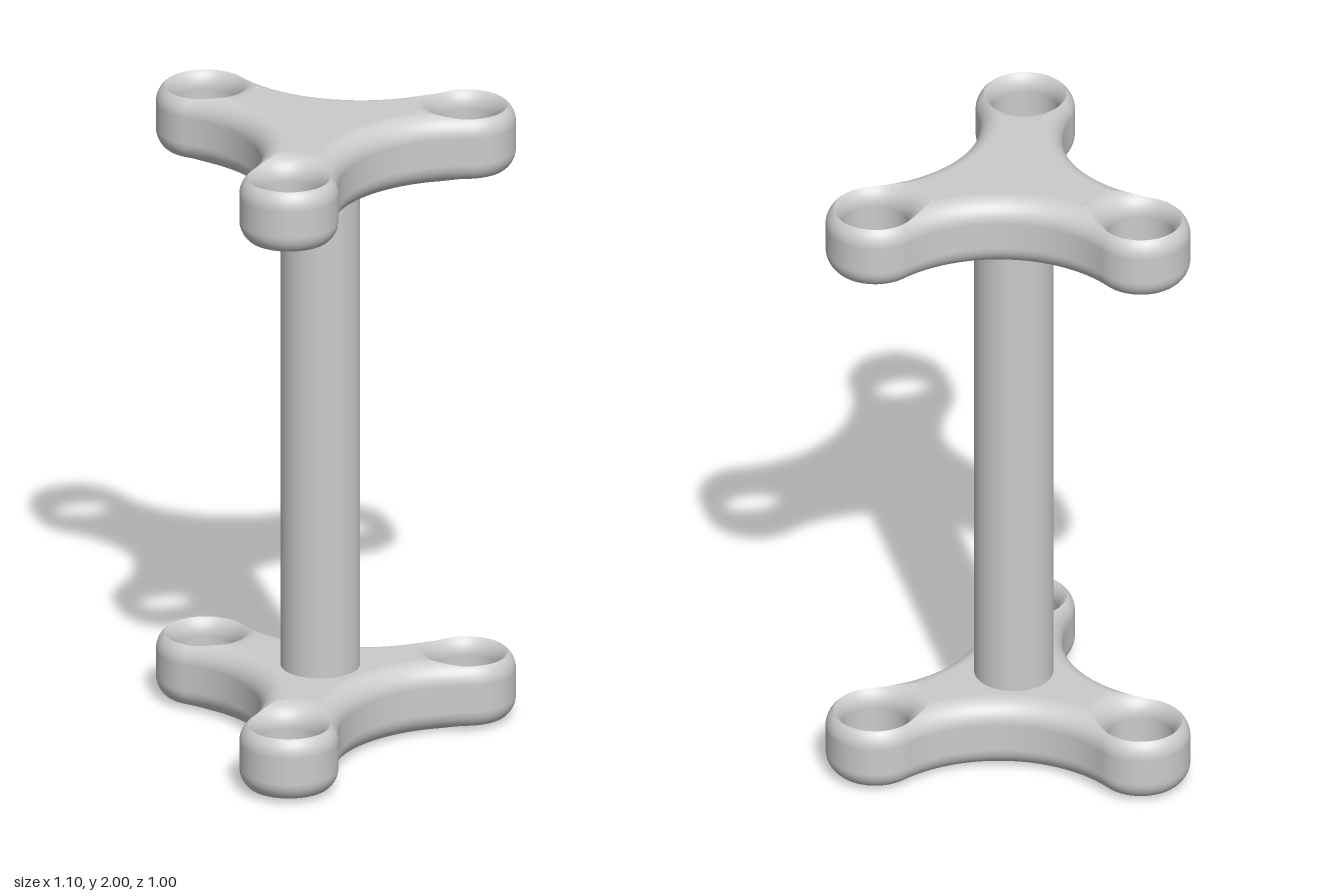
import * as THREE from 'three';
import { mergeGeometries } from 'three/addons/utils/BufferGeometryUtils.js';

const PI = Math.PI;
const L = 0.4645;      // hub to eyelet centre
const EYE = 0.15;      // eyelet outer radius
const HOLE = 0.1;      // eyelet hole radius
const WAIST = 0.208;   // hub to the middle of a concave side
const H = 0.225;       // plate thickness
const r = 0.07;        // edge rounding radius

// Concave side arcs are tangent to the neighbouring eyelets
const R = (L * L + WAIST * WAIST - L * WAIST - EYE * EYE) / (2 * EYE + L - 2 * WAIST);
const c = WAIST + R;   // hub to side arc centre
const D = R + EYE;     // eyelet centre to side arc centre

// Angle of a triangle between sides a and b, opposite side o
const corner = (a, b, o) => Math.acos((a * a + b * b - o * o) / (2 * a * b));
const polar = (a, d) => new THREE.Vector2(Math.cos(a) * d, Math.sin(a) * d);

const gamma = corner(L, D, c);   // at the eyelet, hub to side arc centre
const delta = corner(c, D, L);   // at the side arc centre, hub to eyelet
const beta = PI - gamma;         // half sweep of the eyelet's outer arc
const eyes = [0, 1, 2].map(k => PI / 2 + k * 2 * PI / 3);
const sides = eyes.map(a => a + PI / 3);
const eyeCentres = eyes.map(a => polar(a, L));
const sideCentres = sides.map(a => polar(a, c));

// Inset at which the rounding from one arc meets the rounding from another
function meet(centre, rad, dir, other, otherRad) {
  const v = centre.clone().sub(other).addScaledVector(dir, rad);
  const denom = 2 * (otherRad - v.dot(dir));
  return denom > 1e-6 ? (v.lengthSq() - otherRad * otherRad) / denom : r;
}

// Wall along an arc, rounded over at top and bottom up to the inset given by limit
function roundedWall(centre, rad, a0, a1, outward, limit, segments) {
  const pos = [], nor = [], index = [], steps = 10, row = 2 * steps + 2;
  for (let i = 0; i <= segments; i++) {
    const a = a0 + (a1 - a0) * i / segments;
    const dir = polar(a, 1);
    const max = Math.acos(1 - Math.min(r, limit(dir, a)) / r);
    for (let j = 0; j < row; j++) {
      const up = j > steps ? 1 : -1;
      const th = max * (up > 0 ? j - steps - 1 : steps - j) / steps;
      const d = rad - outward * r * (1 - Math.cos(th));
      pos.push(centre.x + dir.x * d, up * (H / 2 - r + r * Math.sin(th)), centre.y + dir.y * d);
      nor.push(outward * dir.x * Math.cos(th), up * Math.sin(th), outward * dir.y * Math.cos(th));
      if (i < segments && j < row - 1) {
        const p = i * row + j, q = p + row;
        index.push(p, p + 1, q, p + 1, q + 1, q);
      }
    }
  }
  const g = new THREE.BufferGeometry();
  g.setAttribute('position', new THREE.Float32BufferAttribute(pos, 3));
  g.setAttribute('normal', new THREE.Float32BufferAttribute(nor, 3));
  g.setIndex(index);
  return g;
}

// Flat face left between the rounded edges
function flatFace() {
  const shape = new THREE.Shape();
  const fromSide = delta - corner(D, R + r, HOLE + r);
  const fromEye = gamma - corner(D, HOLE + r, R + r);
  for (let k = 0; k < 3; k++) {
    const s = sideCentres[k], n = (k + 1) % 3, e = eyeCentres[n];
    shape.absarc(s.x, s.y, R + r, sides[k] + PI + fromSide, sides[k] + PI - fromSide, true);
    shape.absarc(e.x, e.y, HOLE + r, eyes[n] + PI + fromEye, eyes[n] + PI - fromEye, true);
  }
  return new THREE.ShapeGeometry(shape, 48).rotateX(PI / 2).translate(0, -H / 2, 0);
}

function plateGeometries() {
  const eyeWalls = [], holeWalls = [], sideWalls = [];
  const rim = (EYE - HOLE) / 2;
  for (let k = 0; k < 3; k++) {
    const e = eyeCentres[k], s = sideCentres[k], a = eyes[k], b = sides[k];
    eyeWalls.push(roundedWall(e, EYE, a - beta, a + beta, 1, () => rim, 48));
    holeWalls.push(roundedWall(e, HOLE, a + PI, a - PI, -1, (dir, t) =>
      Math.abs(t - a) < beta ? rim
        : Math.min(...sideCentres.map(o => meet(e, HOLE, dir, o, R))), 120));
    sideWalls.push(roundedWall(s, R, b + PI + delta, b + PI - delta, -1, dir =>
      Math.min(...eyeCentres.map(o => meet(s, R, dir, o, HOLE))), 80));
  }
  const face = flatFace();
  return {
    eyeletRims: mergeGeometries(eyeWalls),
    eyeletHoles: mergeGeometries(holeWalls),
    concaveSides: mergeGeometries(sideWalls),
    lowerFace: face,
    upperFace: face.clone().rotateZ(PI),
  };
}

export function createModel() {
  const model = new THREE.Group();
  model.name = 'threeEyeletStand';
  const material = new THREE.MeshStandardMaterial({ color: 0xcccccc });
  const add = (parent, name, geometry) => {
    const mesh = new THREE.Mesh(geometry, material);
    mesh.name = name;
    parent.add(mesh);
    return mesh;
  };

  // Two identical three-armed plates
  const parts = plateGeometries();
  for (const [name, y] of [['bottomPlate', H / 2], ['topPlate', 2 - H / 2]]) {
    const plate = new THREE.Group();
    plate.name = name;
    plate.position.y = y;
    for (const [part, geometry] of Object.entries(parts)) add(plate, part, geometry);
    model.add(plate);
  }

  // Post joining the plate hubs
  add(model, 'post', new THREE.CylinderGeometry(0.12, 0.12, 2 - H, 64)).position.y = 1;

  // The hub sits behind the middle
  for (const part of model.children) part.position.z = -0.1165;
  return model;
}
